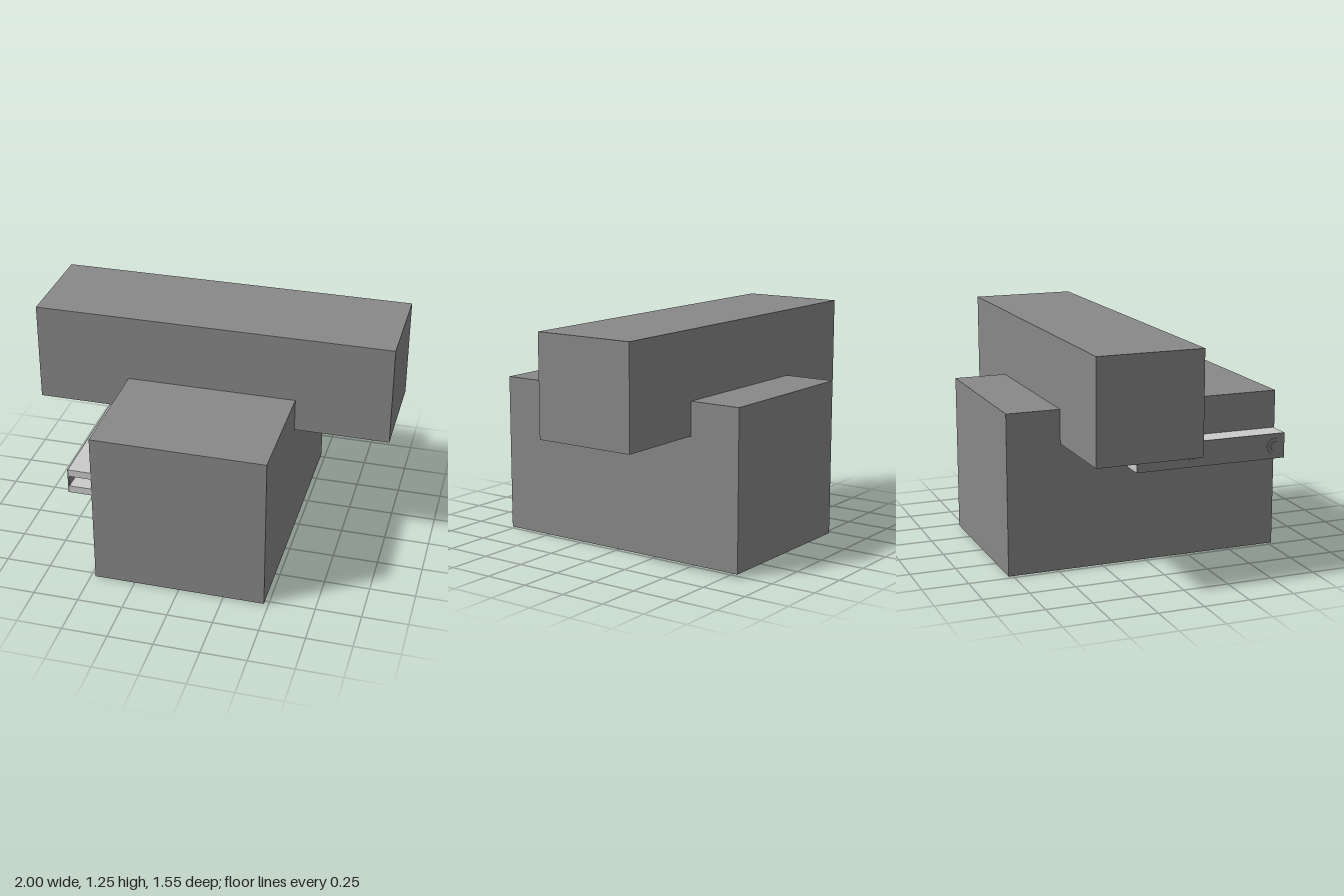
import * as THREE from 'three';

export function createModel() {
  const model = new THREE.Group();
  const dark = new THREE.MeshStandardMaterial({ color: 0x888888, flatShading: true });
  const light = new THREE.MeshStandardMaterial({ color: 0xcccccc, flatShading: true });

  const add = (name, geometry, material, x, y, z) => {
    const mesh = new THREE.Mesh(geometry, material);
    mesh.name = name;
    mesh.position.set(x, y, z);
    model.add(mesh);
    return mesh;
  };
  // Box given by its lower and upper limits on each axis
  const box = (name, material, [x0, x1], [y0, y1], [z0, z1]) =>
    add(name, new THREE.BoxGeometry(x1 - x0, y1 - y0, z1 - z0), material,
      (x0 + x1) / 2, (y0 + y1) / 2, (z0 + z1) / 2);
  // Short cylinder lying along x
  const disc = (name, material, radius, depth, sides, x, z) => {
    const geometry = new THREE.CylinderGeometry(radius, radius, depth, sides);
    geometry.rotateZ(Math.PI / 2);
    return add(name, geometry, material, x, 0.6, z);
  };

  // Main blocks
  box('baseBlock', dark, [-0.475, 0.475], [0, 0.88], [-0.775, 0.775]);
  box('crossBlock', dark, [-1, 1], [0.695, 1.255], [-0.48, 0.1]);

  // Two side rails joined by a thin outer plate
  const railZ = [-0.1, 0.77];
  box('lowerRail', light, [-0.6, -0.47], [0.53, 0.57], railZ);
  box('upperRail', light, [-0.6, -0.47], [0.63, 0.67], railZ);
  box('railPlate', dark, [-0.606, -0.598], [0.53, 0.67], railZ);

  // Wall flange between the rails
  disc('wallFlange', dark, 0.08, 0.016, 24, -0.475, 0.26);

  // Bolts through the outer plate
  for (const z of [0.235, 0.71]) {
    disc('boltWasher', dark, 0.045, 0.006, 16, -0.608, z);
    disc('boltHead', dark, 0.03, 0.012, 6, -0.611, z);
  }
  return model;
}
